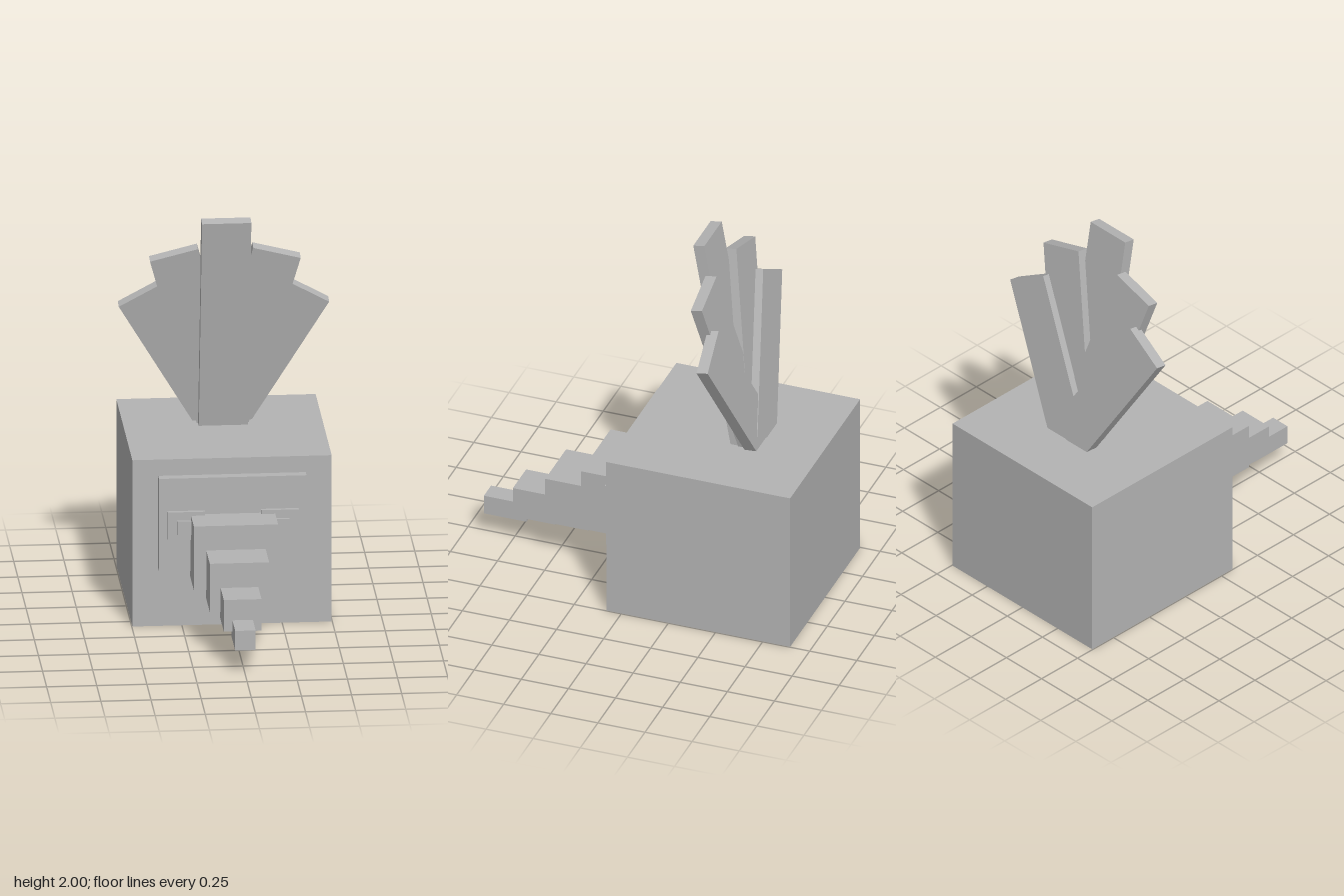
import * as THREE from 'three';

export function createModel() {
  const model = new THREE.Group();
  const grey = new THREE.MeshStandardMaterial({ color: 0xb4b4b4 });
  grey.name = 'plain grey';

  // Axis-aligned block from its limits on each axis
  function block(name, [x0, x1], [y0, y1], [z0, z1]) {
    const mesh = new THREE.Mesh(new THREE.BoxGeometry(x1 - x0, y1 - y0, z1 - z0), grey);
    mesh.position.set((x0 + x1) / 2, (y0 + y1) / 2, (z0 + z1) / 2);
    mesh.name = name;
    model.add(mesh);
  }

  // Body and raised face plate
  block('body', [-0.497, 0.497], [0, 0.87], [-0.895, 0.08]);
  block('facePlate', [-0.368, 0.368], [0.3, 0.785], [0.07, 0.13]);

  // Eyes with protruding pupils
  for (const [side, s] of [['left', 1], ['right', -1]]) {
    const span = (a, b) => (s > 0 ? [a, b] : [-b, -a]);
    block(side + 'Eye', span(0.14, 0.328), [0.47, 0.615], [0.12, 0.152]);
    block(side + 'Pupil', span(0.207, 0.28), [0.5, 0.572], [0.14, 0.168]);
  }

  // Stepped, tapering trunk: half width, height limits, depth limits
  [
    [0.21, [0.26, 0.595], [0.09, 0.322]],
    [0.148, [0.215, 0.468], [0.305, 0.535]],
    [0.094, [0.175, 0.34], [0.5, 0.727]],
    [0.051, [0.13, 0.233], [0.67, 0.897]],
  ].forEach(([w, y, z], i) => block('trunkSegment' + (i + 1), [-w, w], y, z));

  // Fan of flat feathers hinged at the top of the body, leaning forward
  function feather(name, length, roll, z) {
    const geometry = new THREE.BoxGeometry(0.246, length, 0.06).translate(0, length / 2, 0);
    const mesh = new THREE.Mesh(geometry, grey);
    mesh.position.set(0, 0.865, z);
    mesh.rotation.set(THREE.MathUtils.degToRad(10), 0, THREE.MathUtils.degToRad(roll));
    mesh.name = name;
    model.add(mesh);
  }
  feather('middleFeather', 1.147, 0, -0.47);
  feather('leftInnerFeather', 0.993, -15, -0.513);
  feather('rightInnerFeather', 0.993, 15, -0.515);
  feather('leftOuterFeather', 0.836, -30, -0.553);
  feather('rightOuterFeather', 0.836, 30, -0.557);

  return model;
}
